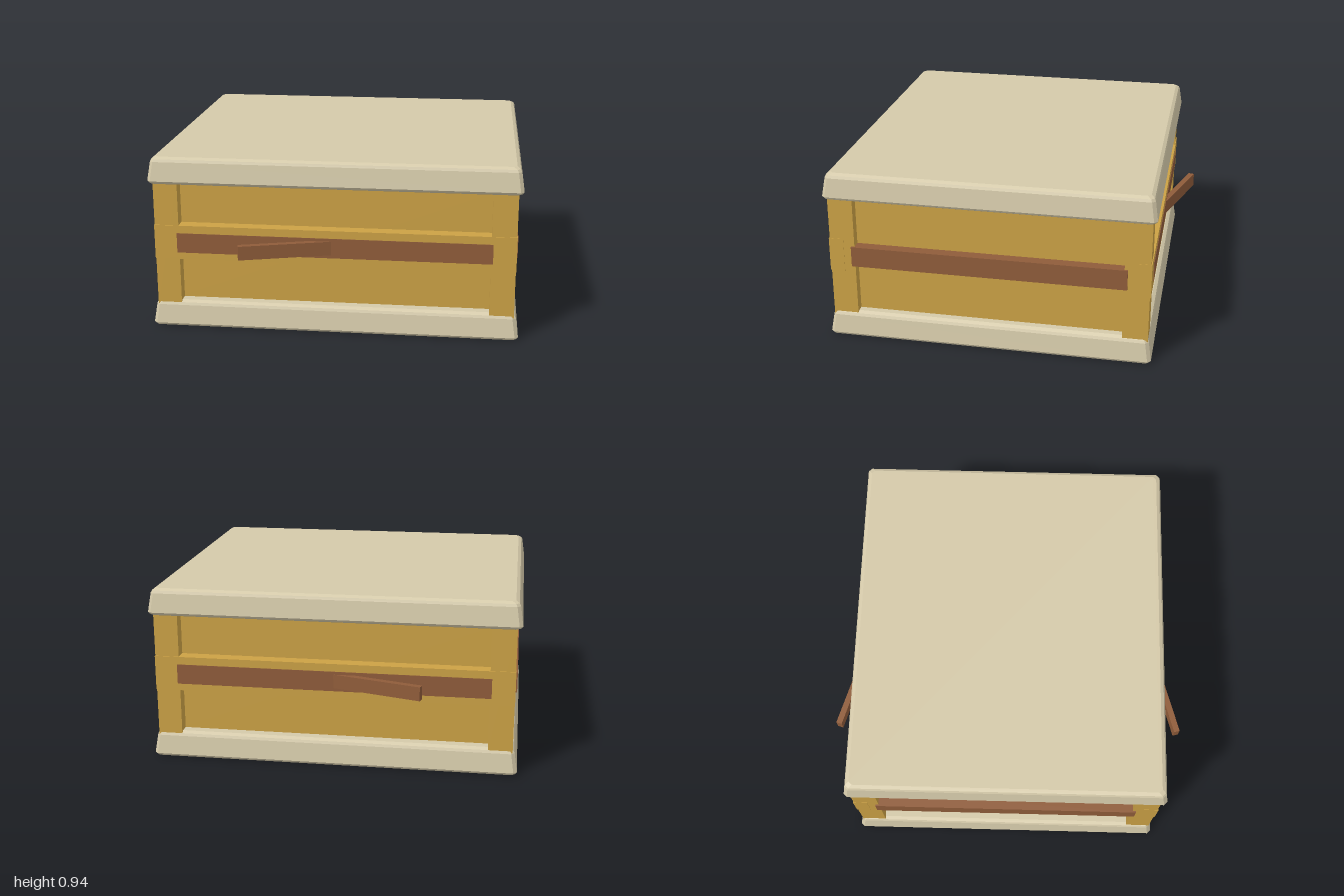
import * as THREE from 'three';

const cream = new THREE.MeshStandardMaterial({ color: 0xd4c9a9 });
cream.name = 'cream';
const gold = new THREE.MeshStandardMaterial({ color: 0xcba145 });
gold.name = 'golden wood';
const brown = new THREE.MeshStandardMaterial({ color: 0x8f5c3a });
brown.name = 'brown wood';

// Tapered slab with bevelled edges and chamfered corners, lofted from stacked sections
function slabGeometry() {
  // [height, half width, half depth]
  const sections = [
    [0, 0.967, 0.857], [0.006, 0.979, 0.869], [0.018, 0.986, 0.877],
    [0.12, 0.971, 0.861], [0.134, 0.964, 0.855], [0.145, 0.946, 0.837],
  ];
  const c = 0.018;
  const rings = sections.map(([y, w, d]) => [
    [w, d - c], [w - c, d], [c - w, d], [-w, d - c],
    [-w, c - d], [c - w, -d], [w - c, -d], [w, c - d],
  ].map(([x, z]) => [x, y, z]));
  const pos = [];
  const tri = (a, b, d) => pos.push(...a, ...b, ...d);
  for (let s = 0; s < rings.length - 1; s++) {
    for (let i = 0; i < 8; i++) {
      const j = (i + 1) % 8;
      const [a, b, d, e] = [rings[s][i], rings[s][j], rings[s + 1][j], rings[s + 1][i]];
      tri(a, d, b);
      tri(a, e, d);
    }
  }
  const low = rings[0], high = rings[rings.length - 1];
  for (let i = 1; i < 7; i++) {
    tri(low[0], low[i], low[i + 1]);
    tri(high[0], high[i + 1], high[i]);
  }
  const geo = new THREE.BufferGeometry();
  geo.setAttribute('position', new THREE.Float32BufferAttribute(pos, 3));
  geo.computeVertexNormals();
  return geo;
}

export function createModel() {
  const model = new THREE.Group();
  model.name = 'crate';

  const add = (name, geo, mat, x, y, z) => {
    const mesh = new THREE.Mesh(geo, mat);
    mesh.name = name;
    mesh.position.set(x, y, z);
    model.add(mesh);
    return mesh;
  };
  const box = (name, mat, w, h, d, x, y, z) =>
    add(name, new THREE.BoxGeometry(w, h, d), mat, x, y, z);

  // Base and lid
  const slab = slabGeometry();
  add('base', slab, cream, 0, 0, 0);
  add('lid', slab, cream, 0, 0.8, 0);

  // Recessed wall panels
  box('body', gold, 1.82, 0.7, 1.58, 0, 0.4725, 0);

  for (const s of [-1, 1]) {
    // Corner posts
    for (const t of [-1, 1]) {
      box('cornerPost', gold, 0.13, 0.7, 0.135, s * 0.895, 0.4725, t * 0.7875);
    }
    // Brown bar along each side
    box('sideBar', brown, 0.08, 0.112, 1.475, s * 0.93, 0.477, 0);
    // Front and back rail with its inlaid strip
    box('rail', gold, 1.924, 0.188, 0.08, 0, 0.479, s * 0.82);
    box('railStrip', brown, 1.68, 0.108, 0.006, 0, 0.477, s * 0.86);
    // Lever swung outwards
    const lever = box('lever', brown, 0.5, 0.075, 0.033, -0.243, 0.478, s * 0.914);
    lever.rotation.y = s * 0.284;
  }

  return model;
}
